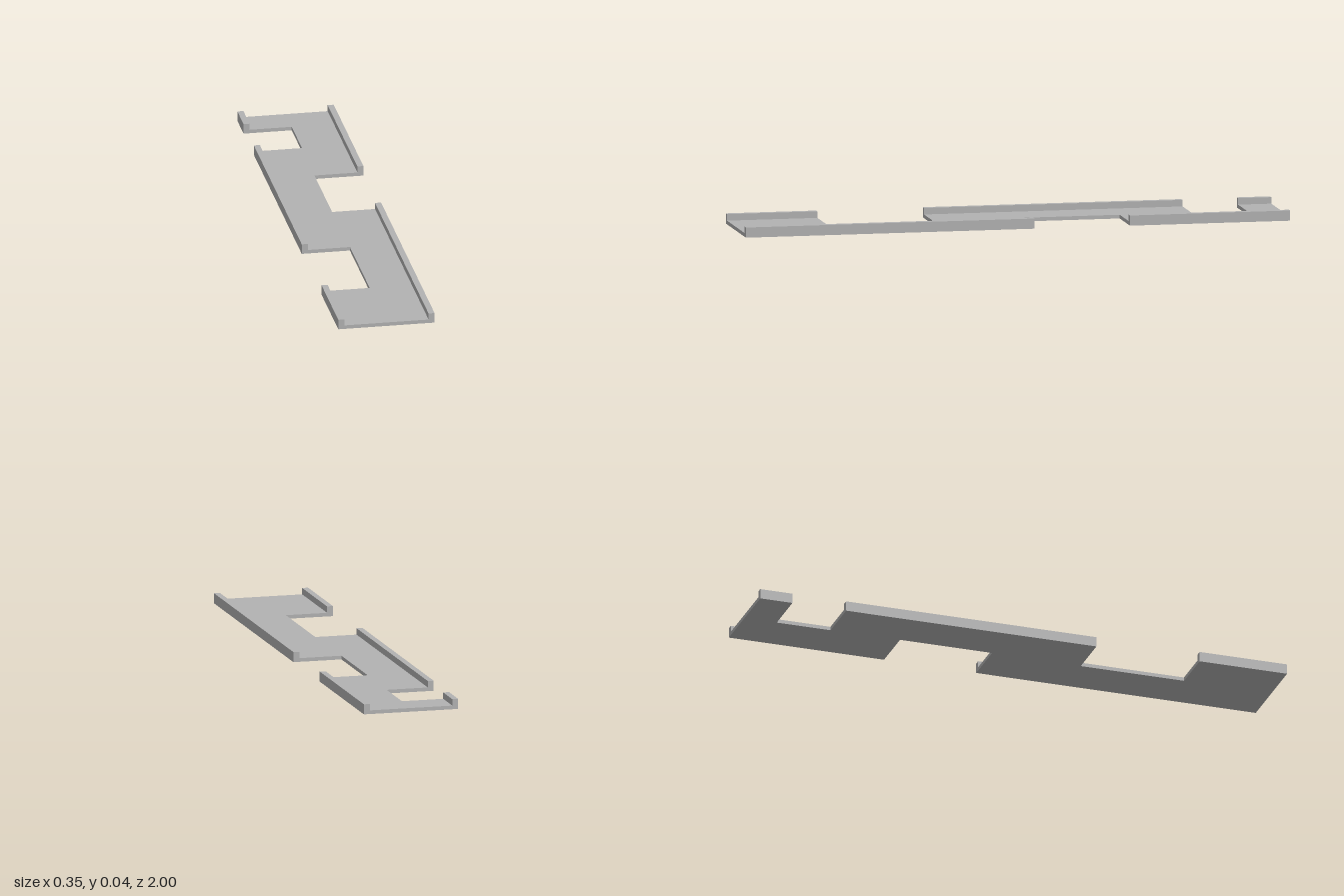
import * as THREE from 'three';

const HALF_WIDTH = 0.176, INNER = 0.154, HEIGHT = 0.037, FLOOR = 0.0135;

// z ranges where each side keeps its full width, from back to front
const RIGHT_SPANS = [[-1, -0.878], [-0.674, 0.276], [0.668, 1]]; // -x side
const LEFT_SPANS = [[-1, -0.411], [-0.061, 1]]; // +x side

// Outline points along one side, stepping in to notchX between spans
function sideOutline(spans, outerX, notchX) {
  const points = [];
  spans.forEach(([z0, z1], i) => {
    if (i > 0) points.push([notchX, z0]);
    points.push([outerX, z0], [outerX, z1]);
    if (i < spans.length - 1) points.push([notchX, z1]);
  });
  return points;
}

export function createModel() {
  const model = new THREE.Group();
  model.name = 'notchedTray';
  const grey = new THREE.MeshStandardMaterial({ color: 0xb2b2b2 });
  grey.name = 'grey';

  // Floor plate with alternating notches
  const outline = [
    ...sideOutline(RIGHT_SPANS, -INNER, 0),
    ...sideOutline(LEFT_SPANS, INNER, -0.003).reverse(),
  ].map(([x, z]) => new THREE.Vector2(x, -z));
  const floorGeometry = new THREE.ExtrudeGeometry(new THREE.Shape(outline), {
    depth: FLOOR, bevelEnabled: false,
  }).rotateX(-Math.PI / 2);
  const floor = new THREE.Mesh(floorGeometry, grey);
  floor.name = 'floorPlate';
  model.add(floor);

  // Raised rails along the remaining outer edges
  const addRails = (name, side, spans) => spans.forEach(([z0, z1], i) => {
    const rail = new THREE.Mesh(
      new THREE.BoxGeometry(HALF_WIDTH - INNER, HEIGHT, z1 - z0), grey);
    rail.position.set(side * (HALF_WIDTH + INNER) / 2, HEIGHT / 2, (z0 + z1) / 2);
    rail.name = `${name}${i + 1}`;
    model.add(rail);
  });
  addRails('rightRail', -1, RIGHT_SPANS);
  addRails('leftRail', 1, LEFT_SPANS);

  return model;
}
